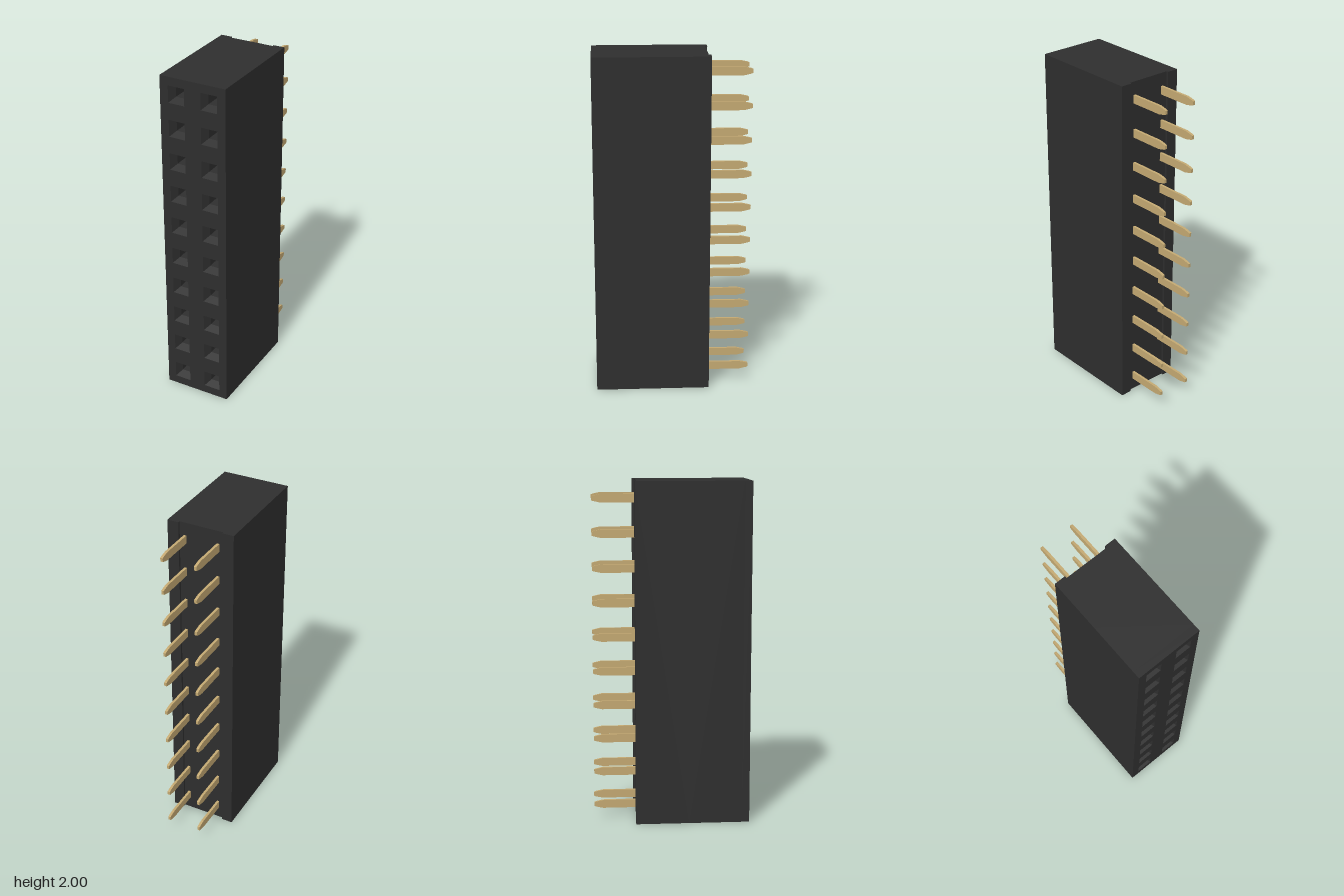
import * as THREE from 'three';

const ROWS = 10, PITCH = 0.2, COLS = [-0.1, 0.1];
const HALF_W = 0.2, HEIGHT = 2;
const FRONT = 0.455, FUNNEL_BASE = 0.41, SOCKET_FLOOR = 0.1, BACK = -0.213, RECESS = -0.2;
const MOUTH = 0.1, BORE = 0.055, PIN_W = 0.015;

// Runs a callback at the centre of every contact position
function eachContact(fn) {
  for (let r = 0; r < ROWS; r++) for (const x of COLS) fn(x, PITCH * (r + 0.5));
}

// Slab of housing from z0 to z1, pierced by square holes
function piercedSlab(z0, z1, size) {
  const shape = new THREE.Shape([
    new THREE.Vector2(-HALF_W, 0), new THREE.Vector2(HALF_W, 0),
    new THREE.Vector2(HALF_W, HEIGHT), new THREE.Vector2(-HALF_W, HEIGHT),
  ]);
  const h = size / 2;
  eachContact((x, y) => shape.holes.push(new THREE.Path([
    new THREE.Vector2(x - h, y - h), new THREE.Vector2(x - h, y + h),
    new THREE.Vector2(x + h, y + h), new THREE.Vector2(x + h, y - h),
  ])));
  return new THREE.ExtrudeGeometry(shape, { depth: z1 - z0, bevelEnabled: false }).translate(0, 0, z0);
}

// Tapered square lead-in, mirrored so its faces point inward
function funnelGeometry() {
  const g = new THREE.CylinderGeometry(MOUTH / Math.SQRT2, BORE / Math.SQRT2, FRONT - FUNNEL_BASE, 4, 1, true)
    .rotateY(Math.PI / 4).rotateX(Math.PI / 2).scale(-1, 1, 1).toNonIndexed();
  g.computeVertexNormals();
  return g;
}

// Flat solder pin with a tapered tip, pointing to the back
function pinGeometry() {
  const half = [[0.19, 0.024], [0.405, 0.024], [0.445, 0.015], [0.455, 0.011]];
  const outline = [
    ...half.map(([d, h]) => new THREE.Vector2(d, -h)),
    ...half.slice().reverse().map(([d, h]) => new THREE.Vector2(d, h)),
  ];
  return new THREE.ExtrudeGeometry(new THREE.Shape(outline), { depth: PIN_W, bevelEnabled: false })
    .translate(0, 0, -PIN_W / 2).rotateY(Math.PI / 2);
}

// Rear housing block: a plan outline with a shallow channel between two rails
function rearGeometry() {
  const plan = [
    [-HALF_W, BACK], [-0.133, BACK], [-0.133, RECESS], [0.133, RECESS],
    [0.133, BACK], [HALF_W, BACK], [HALF_W, SOCKET_FLOOR], [-HALF_W, SOCKET_FLOOR],
  ].map(([x, z]) => new THREE.Vector2(x, -z));
  return new THREE.ExtrudeGeometry(new THREE.Shape(plan), { depth: HEIGHT, bevelEnabled: false })
    .rotateX(-Math.PI / 2);
}

export function createModel() {
  const plastic = new THREE.MeshStandardMaterial({ name: 'black plastic', color: 0x2e2e2e });
  const gold = new THREE.MeshStandardMaterial({ name: 'gold contact', color: 0xc4a972 });

  const model = new THREE.Group();
  model.name = 'pinSocket';
  const add = (name, geometry, material, x = 0, y = 0, z = 0) => {
    const mesh = new THREE.Mesh(geometry, material);
    mesh.name = name;
    mesh.position.set(x, y, z);
    model.add(mesh);
  };

  // Housing
  add('housingRear', rearGeometry(), plastic);
  add('housingCore', piercedSlab(SOCKET_FLOOR, FUNNEL_BASE, BORE), plastic);
  add('housingFace', piercedSlab(FUNNEL_BASE, FRONT, MOUTH), plastic);

  // Sockets and pins
  const funnel = funnelGeometry();
  const pin = pinGeometry();
  const contact = new THREE.BoxGeometry(0.016, 0.036, 0.2);
  eachContact((x, y) => {
    add('socketFunnel', funnel, plastic, x, y, (FRONT + FUNNEL_BASE) / 2);
    add('socketContact', contact, gold, x, y, SOCKET_FLOOR + 0.09);
    add('solderPin', pin, gold, x, y, 0);
  });
  return model;
}
